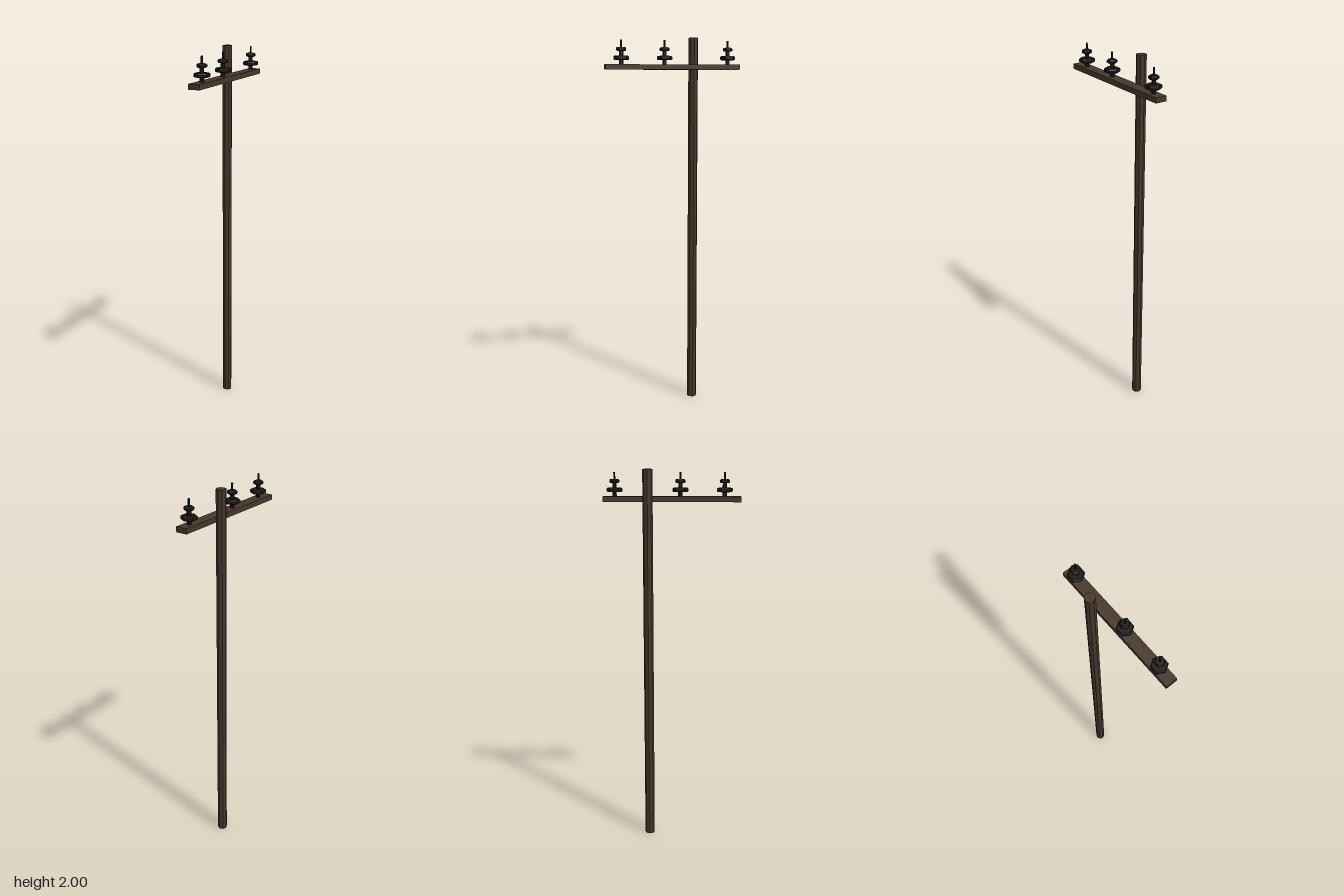
import * as THREE from 'three';

const wood = new THREE.MeshStandardMaterial({ color: 0x45372c, flatShading: true });
const ceramic = new THREE.MeshStandardMaterial({ color: 0x1b1715, flatShading: true });

function part(name, geometry, material, x, y, z) {
  const mesh = new THREE.Mesh(geometry, material);
  mesh.name = name;
  mesh.position.set(x, y, z);
  return mesh;
}

export function createModel() {
  const model = new THREE.Group();
  model.name = 'utilityPole';

  // Octagonal pole, standing just behind the crossarm
  model.add(part('pole', new THREE.CylinderGeometry(0.026, 0.026, 2, 8), wood, 0.047, 1, -0.126));

  // Crossarm assembly, turned 45 degrees; its local x runs along the beam
  const arm = new THREE.Group();
  arm.name = 'crossarmAssembly';
  arm.rotation.y = Math.PI / 4;
  arm.add(part('crossarm', new THREE.BoxGeometry(0.709, 0.027, 0.06), wood, 0, 1.848, 0));

  // Six-sided insulator: stem, wide lower disc, smaller upper disc and pin
  const profile = [
    [0, 0], [0.011, 0], [0.011, 0.024], [0.036, 0.024], [0.0407, 0.028], [0.0407, 0.04],
    [0.036, 0.045], [0.011, 0.045], [0.011, 0.069], [0.021, 0.069], [0.026, 0.073],
    [0.026, 0.083], [0.021, 0.088], [0.005, 0.088], [0.005, 0.124], [0, 0.124],
  ].map(([r, y]) => new THREE.Vector2(r, y));
  const insulator = new THREE.LatheGeometry(profile, 6, Math.PI / 6);
  for (const x of [-0.27, -0.043, 0.295]) {
    arm.add(part('insulator', insulator, ceramic, x, 1.86, 0));
  }
  model.add(arm);
  return model;
}
